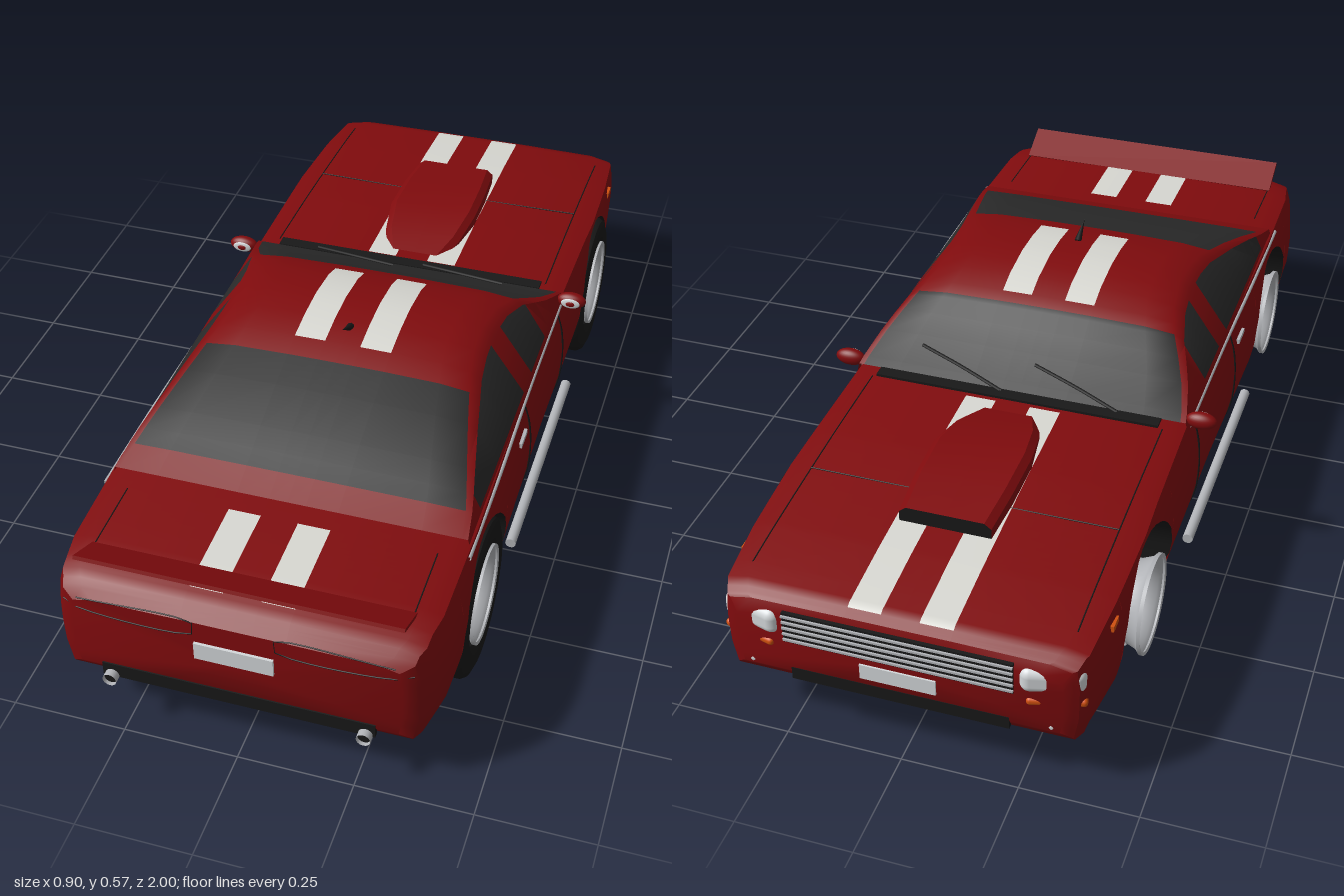
import * as THREE from 'three';
import { toCreasedNormals } from 'three/addons/utils/BufferGeometryUtils.js';
import { RoundedBoxGeometry } from 'three/addons/geometries/RoundedBoxGeometry.js';

const material = (name, color, side = THREE.FrontSide) => {
  const m = new THREE.MeshStandardMaterial({ color, side });
  m.name = name;
  return m;
};

// linear interpolation through [key, value] pairs
function lerpTable(table, k) {
  if (k <= table[0][0]) return table[0][1];
  for (let i = 1; i < table.length; i++) {
    const [k0, v0] = table[i - 1], [k1, v1] = table[i];
    if (k <= k1) return v0 + (v1 - v0) * (k - k0) / (k1 - k0);
  }
  return table[table.length - 1][1];
}

// skin over rows of points, pick(column, midZ, row) gives the material index
function loft(rows, closed, mats, pick) {
  const buckets = mats.map(() => []);
  const n = rows[0].length;
  for (let i = 0; i < rows.length - 1; i++) {
    for (let j = 0; j < (closed ? n : n - 1); j++) {
      const k = (j + 1) % n;
      const a = rows[i][j], b = rows[i][k], c = rows[i + 1][k], d = rows[i + 1][j];
      buckets[pick(j, (a[2] + d[2]) / 2, i)].push(...a, ...b, ...c, ...a, ...c, ...d);
    }
  }
  const g = new THREE.BufferGeometry();
  g.setAttribute('position', new THREE.Float32BufferAttribute(buckets.flat(), 3));
  let start = 0;
  buckets.forEach((b, i) => { g.addGroup(start, b.length / 3, i); start += b.length / 3; });
  return new THREE.Mesh(toCreasedNormals(g, 0.6), mats);
}

const WHEEL_R = 0.177, ARCH_R = 0.183, AXLES = [-0.6, 0.585];
const WIDTH = [[-0.99, 0.34], [-0.975, 0.368], [-0.94, 0.385], [-0.8, 0.4], [-0.6, 0.41], [0, 0.407], [0.6, 0.417], [0.85, 0.41], [0.93, 0.395], [0.965, 0.375], [0.98, 0.345]];
const TOP = [[-0.99, 0.31], [-0.98, 0.337], [-0.95, 0.352], [-0.8, 0.367], [-0.5, 0.386], [-0.25, 0.394], [0.6, 0.397], [0.9, 0.39], [0.95, 0.377], [0.98, 0.35]];
const BOTTOM = [[-0.99, 0.17], [-0.97, 0.14], [-0.9, 0.125], [-0.8, 0.115], [0.8, 0.115], [0.9, 0.12], [0.96, 0.135], [0.98, 0.165]];
const BULGE = [[0.115, 0.92], [0.14, 0.965], [0.2, 0.995], [0.27, 1], [0.33, 0.985], [0.36, 0.965], [0.4, 0.93]];
const ROOF = [[-0.24, 0.396], [-0.15, 0.443], [-0.05, 0.505], [0.03, 0.532], [0.12, 0.543], [0.2, 0.54], [0.27, 0.53], [0.4, 0.492], [0.5, 0.457], [0.59, 0.42], [0.65, 0.397]];
const sideX = (y, z) => lerpTable(WIDTH, z) * lerpTable(BULGE, y);
const mirrorRow = (half, skip) => [...half, ...half.slice(skip, -1).reverse().map(([x, y, z]) => [-x, y, z])];

export function createModel() {
  const red = material('red paint', 0x800b0d, THREE.DoubleSide);
  const white = material('white stripe', 0xd8d8d2, THREE.DoubleSide);
  const glass = material('dark glass', 0x2a2a2a, THREE.DoubleSide);
  const black = material('black rubber', 0x181818, THREE.DoubleSide);
  const silver = material('silver', 0xb2b4b8, THREE.DoubleSide);
  const lens = material('clear lens', 0xd4d8da);
  const orange = material('orange lamp', 0xd0500f);
  const grey = material('dark grey metal', 0x6c6e72);

  const car = new THREE.Group();
  car.name = 'sportsCar';
  const add = (name, geo, mat, x = 0, y = 0, z = 0, parent = car) => {
    const m = new THREE.Mesh(geo, mat);
    m.name = name;
    m.position.set(x, y, z);
    parent.add(m);
    return m;
  };
  const box = (name, w, h, d, mat, x, y, z, parent) => add(name, new THREE.BoxGeometry(w, h, d), mat, x, y, z, parent);
  const line = (name, pts, r, mat) => add(name, new THREE.TubeGeometry(
    new THREE.CatmullRomCurve3(pts.map(p => new THREE.Vector3(...p))), 16, r, 6), mat);

  // lower body with wheel arches
  const zs = [...WIDTH, ...TOP, ...BOTTOM].map(p => p[0]).concat([-0.96, -0.28, -0.25, 0.7, 0.92]);
  for (const c of AXLES) {
    for (let k = 0; k <= 18; k++) zs.push(c + ARCH_R * Math.cos(Math.PI * k / 18));
    zs.push(c - ARCH_R - 0.0005, c + ARCH_R + 0.0005);
  }
  const stations = [...new Set(zs)].sort((a, b) => a - b);
  const bodyRows = stations.map(z => {
    const w = lerpTable(WIDTH, z), yt = lerpTable(TOP, z);
    let yb = lerpTable(BOTTOM, z);
    for (const c of AXLES) {
      const s = ARCH_R ** 2 - (z - c) ** 2;
      if (s > -1e-6) yb = Math.max(yb, WHEEL_R + Math.sqrt(Math.max(0, s)));
    }
    const half = [[0, yb, z], [w * 0.5, yb, z]];
    for (let k = 0; k < 8; k++) {
      const y = yb + (yt - 0.012 - yb) * k / 7;
      half.push([sideX(y, z), y, z]);
    }
    half.push([w * 0.86, yt - 0.002, z], [0.11, yt, z], [0.04, yt, z], [0, yt, z]);
    return mirrorRow(half, 1);
  });
  const cap = z => bodyRows[0].map(() => [0, 0.24, z]);
  const body = loft([cap(-0.99), ...bodyRows, cap(0.98)], true, [red, white, black], (j, z) => {
    if ((j === 11 || j === 14) && ((z > -0.96 && z < -0.28) || (z > 0.7 && z < 0.92))) return 1;
    const inArch = AXLES.some(c => Math.abs(z - c) < ARCH_R + 0.0004);
    return inArch && (j < 2 || j > 23) ? 2 : 0;
  });
  body.name = 'body';
  car.add(body);

  // cabin with windows
  const cabinZ = [...new Set(ROOF.map(p => p[0]).concat([-0.22, -0.1, -0.06, -0.02, 0.08, 0.155, 0.32, 0.55]))].sort((a, b) => a - b);
  const cabin = loft(cabinZ.map(z => {
    const h = Math.max(0.001, lerpTable(ROOF, z) - 0.395);
    const X = t => 0.385 - 0.085 * (t * h / 0.12) ** 1.3;
    const at = (x, t) => [x, 0.396 + t * h, z];
    return mirrorRow([[0.392, 0.37, z], at(0.385, 0), at(X(0.78), 0.78), at(X(0.9) - 0.012, 0.9),
      at(X(0.9) * 0.75, 0.97), at(0.11, 0.995), at(0.04, 1), at(0, 1)], 0);
  }), false, [red, white, glass], (j, z) => {
    const c = Math.min(j, 13 - j);
    if (c === 1) return (z > -0.06 && z < 0.08) || (z > 0.155 && z < 0.57) ? 2 : 0;
    if (c >= 3 && ((z > -0.24 && z < -0.05) || (z > 0.32 && z < 0.59))) return 2;
    return c === 5 && z > -0.02 && z < 0.27 ? 1 : 0;
  });
  cabin.name = 'cabin';
  car.add(cabin);

  // hood scoop with dark mouth
  const scoopRow = ([z, hx, top]) => mirrorRow([[hx, 0.35, z], [hx, top - 0.012, z], [hx - 0.015, top, z], [0, top, z]], 0);
  const scoop = loft([new Array(7).fill([0, 0.37, -0.71]),
    ...[[-0.71, 0.1, 0.408], [-0.6, 0.108, 0.418], [-0.48, 0.11, 0.423], [-0.38, 0.095, 0.408], [-0.31, 0.07, 0.392]].map(scoopRow)],
  false, [red, black], (j, z, i) => (i === 0 ? 1 : 0));
  scoop.name = 'hoodScoop';
  car.add(scoop);

  // rear spoiler
  box('spoiler', 0.68, 0.008, 0.095, red, 0, 0.408, 0.91).rotation.x = -0.45;

  // tail details
  box('rearPlate', 0.166, 0.042, 0.008, lens, 0, 0.276, 0.982);
  box('rearValance', 0.58, 0.034, 0.012, black, 0, 0.158, 0.977);
  // nose details
  box('grille', 0.48, 0.075, 0.008, black, 0, 0.287, -0.989);
  for (let i = 0; i < 5; i++) box('grilleBar', 0.48, 0.005, 0.006, silver, 0, 0.257 + i * 0.015, -0.994);
  box('frontPlate', 0.16, 0.036, 0.008, lens, 0, 0.215, -0.99);
  box('frontIntake', 0.46, 0.03, 0.012, black, 0, 0.165, -0.985);

  // wipers and antenna
  for (const x of [-0.23, 0.04]) line('wiper', [[x, 0.402, -0.25], [x + 0.1, 0.42, -0.215], [x + 0.21, 0.437, -0.18]], 0.004, black);
  const fin = add('antenna', new THREE.ConeGeometry(0.009, 0.065, 10), black, 0, 0.552, 0.24);
  fin.rotation.x = 1.05;

  // trunk and hood seams
  line('hoodSeam', [[-0.34, 0.382, -0.612], [0, 0.38, -0.61], [0.34, 0.382, -0.612]].map(([x, y, z]) => [x, y - 0.002, z]), 0.0015, black);
  box('cowl', 0.66, 0.006, 0.03, black, 0, 0.396, -0.255);

  // rounded tyre and dished rim profiles, turned about x
  const lathe = pts => toCreasedNormals(new THREE.LatheGeometry(pts.map(p => new THREE.Vector2(...p)), 48).rotateZ(-Math.PI / 2), 0.6);
  const tyreGeo = lathe([[0.107, -0.13], [0.172, -0.133], [0.177, -0.128], [0.177, 0.118], [0.17, 0.13], [0.15, 0.138], [0.12, 0.134], [0.107, 0.125], [0.107, -0.13]]);
  const rimGeo = lathe([[0.104, -0.075], [0.092, -0.055], [0.09, 0.03], [0.1, 0.055], [0.109, 0.062], [0.109, 0.07], [0.102, 0.068]]);

  for (const s of [1, -1]) {
    for (const z of AXLES) {
      // left tyres sit outboard, right tyres sit near the middle
      add('tyre', tyreGeo, black, s > 0 ? 0.275 : -0.0075, WHEEL_R, z);
      const wheel = new THREE.Group();
      wheel.name = 'wheel';
      wheel.position.set(s * 0.345, 0.188, z);
      if (s < 0) wheel.rotation.y = Math.PI;
      car.add(wheel);
      add('rim', rimGeo, silver, 0, 0, 0, wheel);
      add('hub', new THREE.CylinderGeometry(0.022, 0.026, 0.025, 20).rotateZ(-Math.PI / 2), silver, 0.025, 0, 0, wheel);
      for (let k = 0; k < 5; k++) {
        const spoke = new THREE.BoxGeometry(0.018, 0.085, 0.024).translate(0.02, 0.053, 0).rotateX(k * Math.PI * 0.4);
        add('spoke', spoke, silver, 0, 0, 0, wheel);
      }
      add('brakeDisc', new THREE.CylinderGeometry(0.075, 0.075, 0.012, 32).rotateZ(Math.PI / 2), grey, -0.03, 0, 0, wheel);
      box('caliper', 0.04, 0.05, 0.05, red, -0.03, 0.045, -s * 0.045, wheel);
    }

    // side trim, door handle and door seams
    line('beltTrim', [0.68, 0.4, 0.1, -0.22].map(z => [s * (sideX(0.376, z) + 0.001), 0.376, z]), 0.0045, silver);
    box('doorHandle', 0.012, 0.012, 0.055, silver, s * 0.403, 0.332, 0.235);
    for (const z of [0.17, -0.185]) line('doorSeam', [0.12, 0.15, 0.2, 0.27, 0.33, 0.37].map(y => [s * sideX(y, z), y, z]), 0.0025, black);
    line('hoodSideSeam', [-0.9, -0.8, -0.5, -0.27].map(z => [s * 0.34, lerpTable(TOP, z) - 0.002, z]), 0.0015, black);
    line('trunkSeam', [0.7, 0.8, 0.88].map(z => [s * 0.335, lerpTable(TOP, z) - 0.002, z]), 0.0015, black);

    // side pipe and tail pipe
    add('sidePipe', new THREE.CylinderGeometry(0.012, 0.012, 0.6, 16).rotateX(Math.PI / 2), silver, s * 0.41, 0.1, 0.03);
    add('tailPipe', new THREE.CylinderGeometry(0.015, 0.015, 0.06, 20, 1, true).rotateX(Math.PI / 2), silver, s * 0.27, 0.145, 0.97);
    add('tailPipeBore', new THREE.CircleGeometry(0.014, 20), black, s * 0.27, 0.145, 0.992);

    // mirror
    add('mirror', new THREE.SphereGeometry(1, 24, 16).scale(0.035, 0.02, 0.018), red, s * 0.415, 0.396, -0.218);
    add('mirrorGlass', new THREE.SphereGeometry(1, 20, 12).scale(0.023, 0.013, 0.004), lens, s * 0.415, 0.396, -0.203);
    add('mirrorCentre', new THREE.SphereGeometry(1, 16, 10).scale(0.011, 0.007, 0.003), red, s * 0.415, 0.396, -0.2);

    // tail lamp panel outline
    const [x0, x1, y0, y1] = [0.083, 0.33, 0.32, 0.347];
    line('tailLampOutline', [[x1, y1], [x0, y1], [x0, y0], [x1, y0], [0.365, 0.325]].map(([x, y], i) => [s * x, y, i === 4 ? 0.968 : 0.98]), 0.0015, black);

    // head lamps, indicators and fog lamps
    const lamp = add('headLamp', new RoundedBoxGeometry(0.13, 0.06, 0.06, 4, 0.02), lens, s * 0.31, 0.29, -0.958);
    lamp.rotation.y = s * -0.25;
    const blinker = add('indicator', new RoundedBoxGeometry(0.12, 0.018, 0.05, 3, 0.008), orange, s * 0.318, 0.237, -0.958);
    blinker.rotation.y = s * -0.25;
    box('sideMarker', 0.008, 0.014, 0.035, orange, s * 0.392, 0.325, -0.825);
    add('fogLamp', new THREE.SphereGeometry(0.016, 16, 12), lens, s * 0.315, 0.178, -0.975);
  }
  return car;
}
